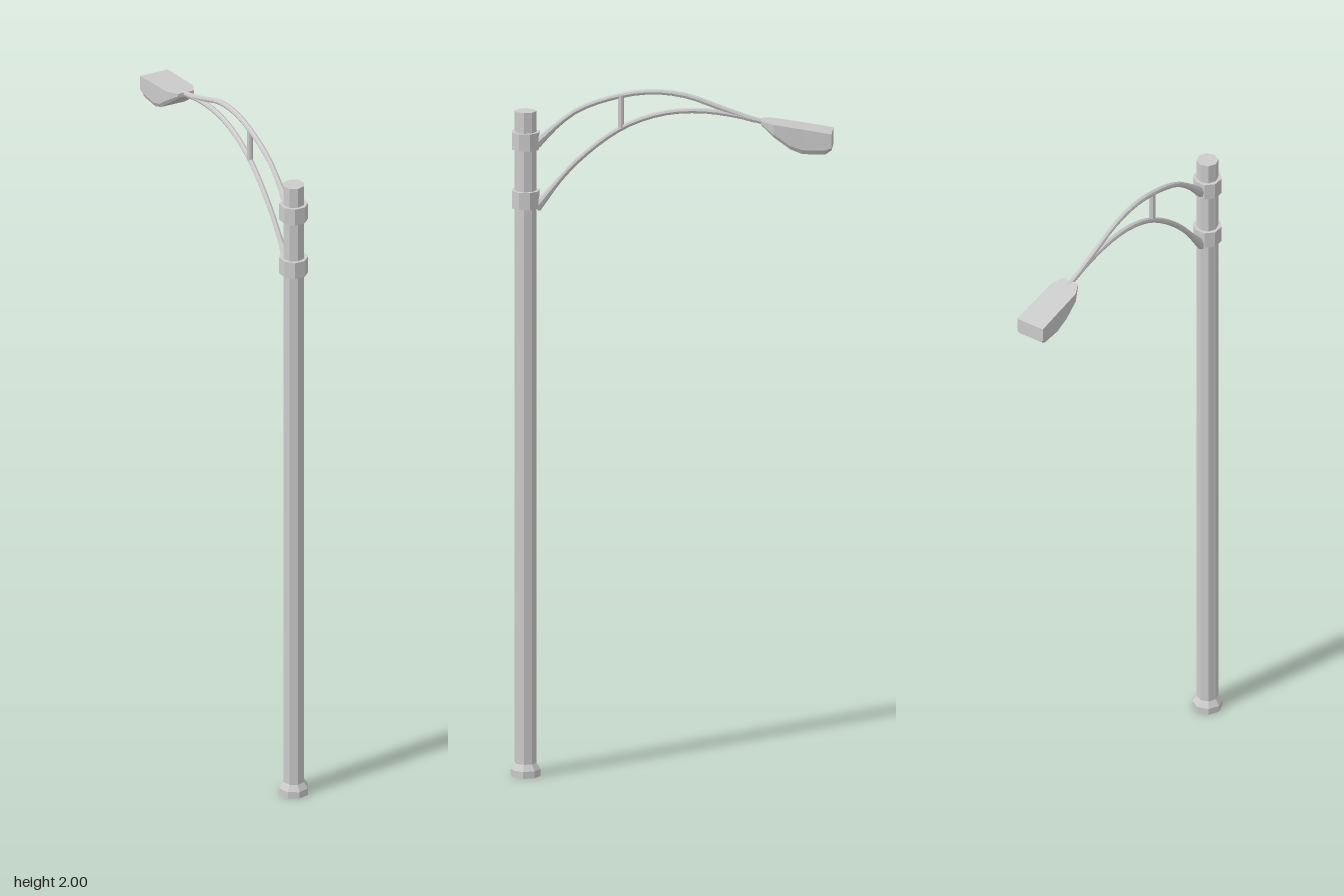
import * as THREE from 'three';

const material = new THREE.MeshStandardMaterial({ color: 0xcccccc, flatShading: true });

function addMesh(parent, name, geometry) {
  const mesh = new THREE.Mesh(geometry, material);
  mesh.name = name;
  parent.add(mesh);
  return mesh;
}

// Eight-sided prism standing between two heights
function octagon(rTop, rBottom, y0, y1) {
  return new THREE.CylinderGeometry(rTop, rBottom, y1 - y0, 8)
    .rotateY(Math.PI / 8)
    .translate(0, (y0 + y1) / 2, 0);
}

// Bent tube that flares out where it meets the pole
function flaredTube(points, radius) {
  const curve = new THREE.CatmullRomCurve3(points.map(([x, y]) => new THREE.Vector3(x, y, 0)));
  const steps = 20, sides = 8;
  const geometry = new THREE.TubeGeometry(curve, steps, radius, sides);
  const pos = geometry.attributes.position;
  const v = new THREE.Vector3();
  for (let i = 0; i <= steps; i++) {
    const t = i / steps;
    const centre = curve.getPointAt(t);
    const swell = 1 + 0.9 * Math.max(0, 1 - t / 0.12);
    for (let j = 0; j <= sides; j++) {
      const k = i * (sides + 1) + j;
      v.fromBufferAttribute(pos, k).sub(centre).multiplyScalar(swell).add(centre);
      pos.setXYZ(k, v.x, v.y, v.z);
    }
  }
  return geometry;
}

// Lamp housing lofted through six-sided sections: x, top, shoulder, bottom, half width
function lampGeometry() {
  const sections = [
    [0.668, 1.915, 1.908, 1.903, 0.025],
    [0.704, 1.910, 1.882, 1.872, 0.042],
    [0.750, 1.903, 1.850, 1.839, 0.043],
    [0.785, 1.898, 1.838, 1.825, 0.043],
    [0.850, 1.888, 1.838, 1.825, 0.044],
    [0.868, 1.885, 1.845, 1.838, 0.044],
  ];
  const positions = [], index = [];
  for (const [x, top, mid, low, w] of sections) {
    const b = w * 0.85;
    positions.push(x, top, w, x, top, -w, x, mid, -w, x, low, -b, x, low, b, x, mid, w);
  }
  const last = (sections.length - 1) * 6;
  for (let i = 0; i < last; i += 6) {
    for (let j = 0; j < 6; j++) {
      const a = i + j, b = i + (j + 1) % 6;
      index.push(a, a + 6, b, b, a + 6, b + 6);
    }
  }
  for (let j = 1; j < 5; j++) {
    index.push(0, j, j + 1, last, last + j + 1, last + j);
  }
  const geometry = new THREE.BufferGeometry();
  geometry.setAttribute('position', new THREE.Float32BufferAttribute(positions, 3));
  geometry.setIndex(index);
  const flat = geometry.toNonIndexed();
  flat.computeVertexNormals();
  return flat;
}

export function createModel() {
  const model = new THREE.Group();
  model.name = 'streetLight';

  const post = new THREE.Group();
  post.name = 'post';
  post.position.set(-0.131, 0, 0.4);
  model.add(post);

  // Pole with its widened foot
  addMesh(post, 'pole', octagon(0.031, 0.031, 0.01, 1.93));
  addMesh(post, 'foot', octagon(0.043, 0.043, 0, 0.02));
  addMesh(post, 'footTaper', octagon(0.031, 0.043, 0.02, 0.038));

  // Everything on the bracket swings round the pole together
  const bracket = new THREE.Group();
  bracket.name = 'bracket';
  bracket.rotation.y = 1.266;
  post.add(bracket);

  // Clamps
  for (const [name, y] of [['upperClamp', 1.845], ['lowerClamp', 1.675]]) {
    addMesh(bracket, name, octagon(0.041, 0.041, y - 0.025, y + 0.025));
  }

  // Curved arms
  addMesh(bracket, 'upperArm', flaredTube([
    [0.03, 1.835], [0.085, 1.887], [0.153, 1.938], [0.275, 1.98], [0.367, 1.991],
    [0.458, 1.98], [0.552, 1.947], [0.64, 1.917], [0.69, 1.905],
  ], 0.008));
  addMesh(bracket, 'lowerArm', flaredTube([
    [0.03, 1.65], [0.147, 1.788], [0.275, 1.887], [0.388, 1.929],
    [0.497, 1.938], [0.597, 1.926], [0.65, 1.913],
  ], 0.008));

  // Strut between the arms
  addMesh(bracket, 'strut',
    new THREE.CylinderGeometry(0.009, 0.009, 0.098, 8).translate(0.27, 1.932, 0));

  // Lamp head
  addMesh(bracket, 'lampHead', lampGeometry());

  return model;
}
